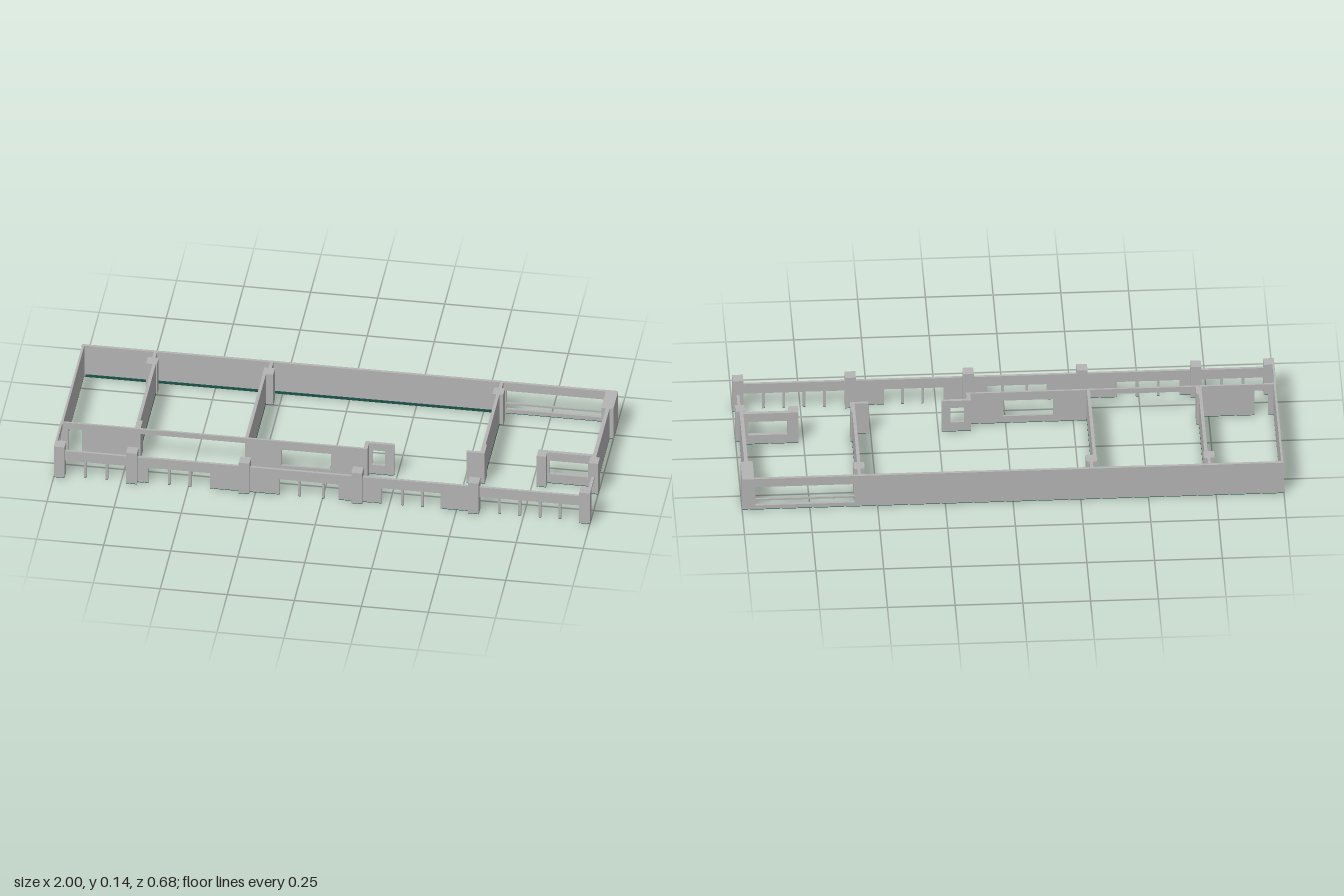
import * as THREE from 'three';

export function createModel() {
  const model = new THREE.Group();
  model.name = 'storeyWalls';
  const concrete = new THREE.MeshStandardMaterial({ color: 0xb4b4b4 });
  concrete.name = 'concreteGrey';
  const green = new THREE.MeshStandardMaterial({ color: 0x1c5248 });
  green.name = 'baseGreen';
  const H = 0.136;

  // box given by its min and max on every axis
  function block(name, x0, x1, z0, z1, y0 = 0.002, y1 = H, mat = concrete) {
    const mesh = new THREE.Mesh(new THREE.BoxGeometry(x1 - x0, y1 - y0, z1 - z0), mat);
    mesh.position.set((x0 + x1) / 2, (y0 + y1) / 2, (z0 + z1) / 2);
    mesh.name = name;
    model.add(mesh);
  }
  // wall or column standing on a thin green base
  function standing(name, x0, x1, z0, z1, base = 0.002, top = H) {
    block(name, x0, x1, z0, z1, base, top);
    block(name + 'Base', x0, x1, z0, z1, 0, base, green);
  }
  // wall along x with one rectangular opening
  function windowWall(name, x0, x1, z0, z1, a, b, sill, head) {
    standing(name + 'Side', x0, a, z0, z1);
    standing(name + 'Side', b, x1, z0, z1);
    if (sill > 0) standing(name + 'Sill', a, b, z0, z1, 0.002, sill);
    block(name + 'Lintel', a, b, z0, z1, head, H);
  }

  // back wall with a barred window
  windowWall('backWall', -1, 1, -0.34, -0.329, 0.585, 0.95, 0.018, 0.1);
  block('backWindowBar', 0.585, 0.95, -0.338, -0.331, 0.038, 0.045);
  block('backWallSkirting', -0.985, 0.56, -0.329, -0.326, 0, 0.01, green);

  // left end wall (at -x) and its corridor window
  standing('endWall', -0.998, -0.99, -0.329, 0.18);
  standing('corridorEndSill', -1, -0.992, 0.18, 0.3, 0.01, 0.06);
  block('corridorEndLintel', -1, -0.992, 0.18, 0.3, 0.115, H);
  block('corridorEndMullion', -1, -0.992, 0.216, 0.228, 0.06, 0.115);

  // partitions with a rear column each
  for (const [x, cx, z1] of [[-0.717, -0.727, 0.175], [-0.306, -0.293, 0.175], [0.565, 0.565, 0.14]]) {
    standing('partition', x - 0.006, x + 0.006, -0.25, z1, 0.008);
    standing('rearColumn', cx - 0.02, cx + 0.02, -0.293, -0.25);
    standing('columnLink', cx - 0.004, cx + 0.008, -0.329, -0.293);
  }
  standing('partitionPier', -0.711, -0.702, 0.12, 0.175);
  standing('partitionPier', 0.571, 0.576, 0.08, 0.14);
  standing('partitionReturn', 0.508, 0.571, 0.128, 0.14);
  block('partitionGreenPanel', 0.556, 0.559, -0.18, 0.08, 0, 0.065, green);

  // corridor wall: door, open lintel span, window
  windowWall('corridorWall', -1, -0.717, 0.17, 0.178, -0.97, -0.92, 0, 0.11);
  block('corridorLintel', -0.717, -0.306, 0.17, 0.178, 0.115, H);
  windowWall('corridorWall', -0.306, 0.13, 0.17, 0.178, -0.175, 0.01, 0.03, 0.1);
  block('corridorSkirting', 0.02, 0.065, 0.178, 0.18, 0, 0.01, green);
  standing('corridorCorner', 0.13, 0.145, 0.138, 0.178);
  windowWall('corridorReturn', 0.13, 0.238, 0.126, 0.138, 0.155, 0.205, 0.04, 0.105);

  // right end wall (at +x) with pier, porch wall and rails
  standing('rearPier', 0.955, 1, -0.34, -0.222);
  standing('rightWall', 0.972, 0.986, -0.222, 0.1);
  windowWall('porchWall', 0.8, 0.975, 0.083, 0.097, 0.81, 0.955, 0.04, 0.1);
  standing('porchColumn', 0.768, 0.803, 0.083, 0.127);
  standing('sideColumn', 0.965, 1, 0.1, 0.143);
  block('sideRail', 0.975, 0.986, 0.143, 0.3, 0.066, 0.075);
  block('sidePost', 0.976, 0.985, 0.215, 0.227, 0, 0.066);

  // front columns
  const columns = [-0.98, -0.71, -0.29, 0.13, 0.565, 0.98];
  for (const x of columns) standing('frontColumn', x - 0.02, x + 0.02, 0.297, 0.339);

  // front bays: beam, window range [a, b], posts, and solid panels beside it
  const bays = [
    [-0.96, -0.73, [-0.885, -0.805]],
    [-0.65, -0.42, [-0.572, -0.494]],
    [-0.16, 0.06, [-0.087, 0.003]],
    [0.22, 0.44, [0.297, 0.372]],
    [0.585, 0.96, [0.66, 0.735, 0.81, 0.885]],
  ];
  bays.forEach(([a, b, posts], i) => {
    const x0 = columns[i] + 0.02, x1 = columns[i + 1] - 0.02;
    block('frontBeam', x0, x1, 0.314, 0.324, 0.068, 0.11);
    if (a - x0 > 0.01) standing('frontPanel', x0, a, 0.314, 0.324, 0.002, 0.068);
    if (x1 - b > 0.01) standing('frontPanel', b, x1, 0.314, 0.324, 0.002, 0.068);
    for (const x of posts) standing('windowPost', x - 0.005, x + 0.005, 0.314, 0.324, 0.002, 0.068);
  });
  return model;
}
